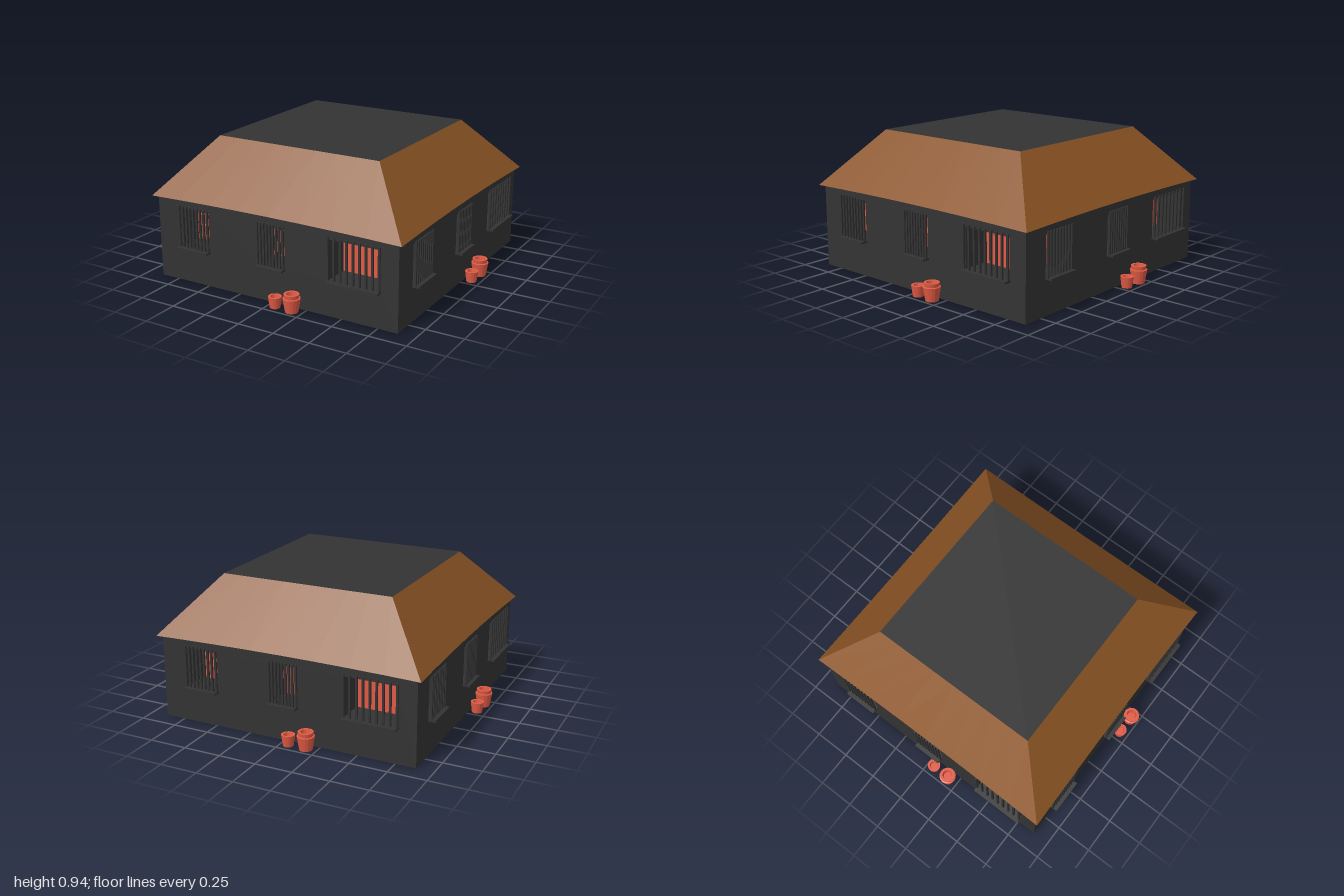
import * as THREE from 'three';

const mat = (color) => new THREE.MeshStandardMaterial({ color, side: THREE.DoubleSide, flatShading: true });

const WALL = 0.885, WALL_TOP = 0.59; // wall half-width and height
const EAVE = 0.915, EAVE_Y = 0.56, RIDGE = 0.59, RIDGE_Y = 0.935;
const SILL_Y = 0.24, HEAD_Y = 0.5, RECESS = 0.17;
const WINDOWS = [[-0.705, -0.48], [-0.095, 0.095], [0.415, 0.765]];

export function createModel() {
  const dark = mat(0x333333), brown = mat(0x8b5424), clay = mat(0xe05a44);
  const model = new THREE.Group();
  model.name = 'house';

  const add = (parent, name, geometry, material, x = 0, y = 0, z = 0) => {
    const mesh = new THREE.Mesh(geometry, material);
    mesh.name = name;
    mesh.position.set(x, y, z);
    parent.add(mesh);
    return mesh;
  };

  // Thin wall with three window openings
  function wallGeometry() {
    const shape = new THREE.Shape();
    shape.moveTo(-WALL, 0).lineTo(WALL, 0).lineTo(WALL, WALL_TOP).lineTo(-WALL, WALL_TOP).closePath();
    for (const [a, b] of WINDOWS) {
      const hole = new THREE.Path();
      hole.moveTo(a, SILL_Y).lineTo(a, HEAD_Y).lineTo(b, HEAD_Y).lineTo(b, SILL_Y).closePath();
      shape.holes.push(hole);
    }
    return new THREE.ShapeGeometry(shape);
  }

  // Roof slope: a grid narrowed towards the ridge, with slightly flared eave corners
  function slopeGeometry() {
    const g = new THREE.PlaneGeometry(2, 1, 8, 1);
    const p = g.attributes.position;
    for (let i = 0; i < p.count; i++) {
      const u = p.getX(i), ridge = p.getY(i) > 0;
      const lift = ridge ? 0 : 1 - u * u;
      const half = ridge ? RIDGE : EAVE;
      p.setXYZ(i, u * half, (ridge ? RIDGE_Y : EAVE_Y) + 0.01 * lift, half - 0.009 * lift);
    }
    g.computeVertexNormals();
    return g;
  }

  // Recessed window with a coloured back panel, bars and a sill
  function makeWindow([a, b]) {
    const w = b - a, h = HEAD_Y - SILL_Y, midY = (HEAD_Y + SILL_Y) / 2;
    const win = new THREE.Group();
    win.name = 'window';
    win.position.x = (a + b) / 2;
    const z = WALL - RECESS / 2;
    for (const s of [-1, 1]) {
      add(win, 'recessSide', new THREE.PlaneGeometry(RECESS, h), dark, s * w / 2, midY, z).rotation.y = -s * Math.PI / 2;
      add(win, 'recessPlate', new THREE.PlaneGeometry(w, RECESS), dark, 0, midY + s * h / 2, z).rotation.x = s * Math.PI / 2;
    }
    add(win, 'windowPanel', new THREE.PlaneGeometry(w, h), clay, 0, midY, WALL - RECESS);
    add(win, 'sill', new THREE.BoxGeometry(w + 0.01, 0.014, 0.05), dark, 0, 0.237, WALL + 0.025);
    const bar = new THREE.BoxGeometry(0.013, 0.28, 0.013);
    for (let i = 0; i <= 8; i++) add(win, 'bar', bar, dark, -w / 2 + w * i / 8, 0.383, 0.903);
    return win;
  }

  const lathe = (points) => new THREE.LatheGeometry(points.map(([r, y]) => new THREE.Vector2(r, y)), 16);
  // Large pot with a stepped rim, and a small plain pot
  const largePot = lathe([[0, 0], [0.042, 0], [0.057, 0.092], [0.047, 0.095], [0.05, 0.119],
    [0.033, 0.119], [0.028, 0.08], [0, 0.08]]);
  const smallPot = lathe([[0, 0], [0.034, 0], [0.044, 0.074], [0.028, 0.074], [0.024, 0.05], [0, 0.05]]);

  const wall = wallGeometry(), slope = slopeGeometry();

  // The four sides repeat by quarter turns
  for (let k = 0; k < 4; k++) {
    const side = new THREE.Group();
    side.name = ['frontSide', 'leftSide', 'backSide', 'rightSide'][k];
    side.rotation.y = k * Math.PI / 2;
    add(side, 'wall', wall, dark, 0, 0, WALL);
    add(side, 'roofSlope', slope, brown);
    for (const span of WINDOWS) side.add(makeWindow(span));
    add(side, 'largePot', largePot, clay, 0.18, 0, 0.943);
    add(side, 'smallPot', smallPot, clay, 0.055, 0, 0.94);
    model.add(side);
  }

  // Flat top of the roof
  add(model, 'roofTop', new THREE.PlaneGeometry(2 * RIDGE, 2 * RIDGE), dark, 0, RIDGE_Y, 0).rotation.x = -Math.PI / 2;

  return model;
}
